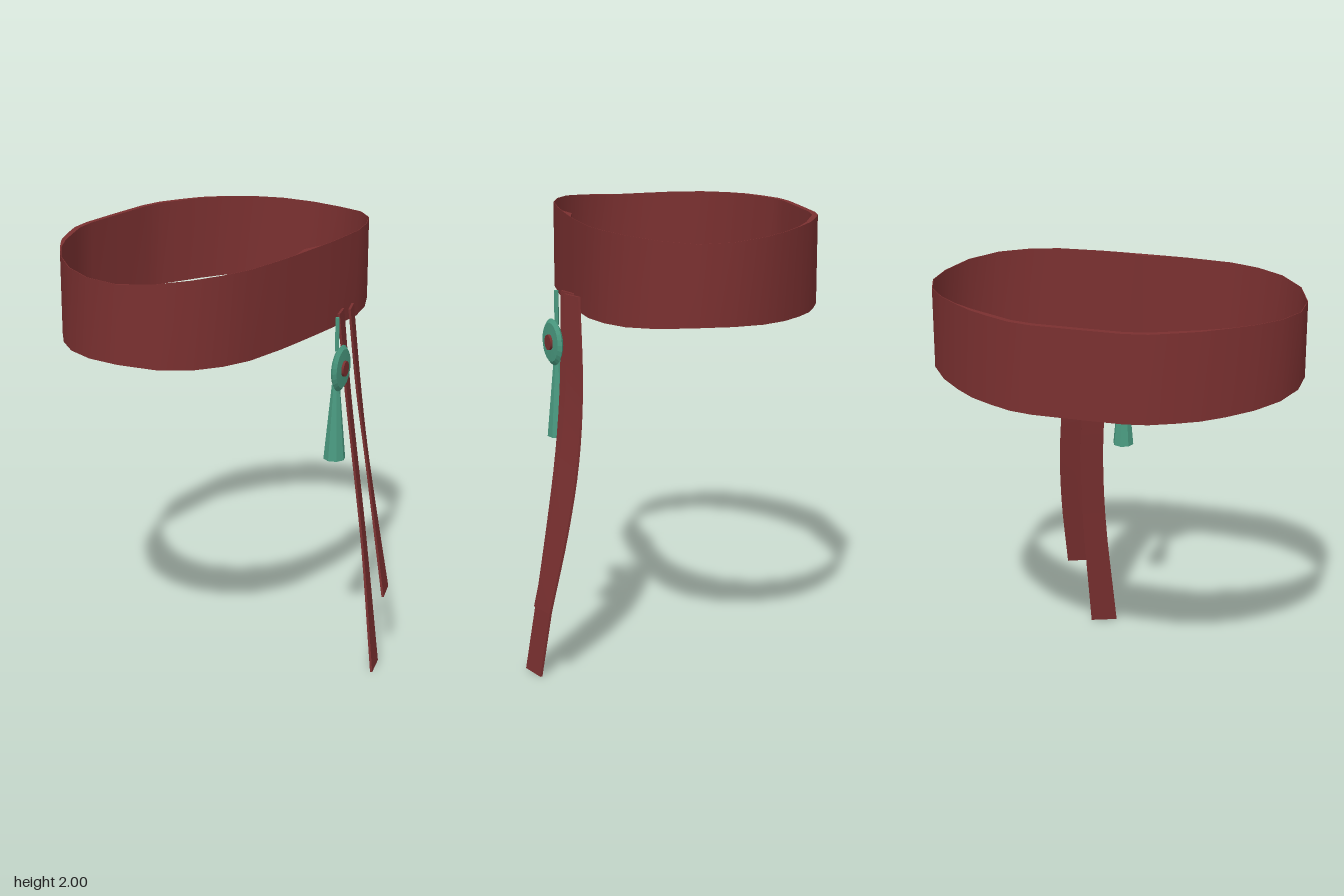
import * as THREE from 'three';

const red = new THREE.MeshStandardMaterial({ color: 0x7a3030, side: THREE.DoubleSide });
red.name = 'dark red cloth';
const green = new THREE.MeshStandardMaterial({ color: 0x4a9a80, flatShading: true });
green.name = 'jade green';

const V = (x, y, z) => new THREE.Vector3(x, y, z);

// Grid of points (rows of equal length) as a surface with smooth normals
function surface(rows) {
  const n = rows[0].length, index = [];
  for (let i = 0; i < rows.length - 1; i++) {
    for (let j = 0; j < n - 1; j++) {
      const a = i * n + j, b = a + 1, c = a + n, d = c + 1;
      index.push(a, b, c, b, d, c);
    }
  }
  const g = new THREE.BufferGeometry().setFromPoints(rows.flat());
  g.setIndex(index);
  g.computeVertexNormals();
  return g;
}

function add(group, name, geometry, material) {
  const mesh = new THREE.Mesh(geometry, material);
  mesh.name = name;
  group.add(mesh);
  return mesh;
}

// Waistband: a half outline mirrored, with the edges flaring at front and back
function waistband() {
  const group = new THREE.Group();
  group.name = 'waistband';
  const half = [
    [0, 0.413], [0.1, 0.413], [0.2, 0.411], [0.4, 0.395], [0.53, 0.355], [0.65, 0.29],
    [0.755, 0.18], [0.812, 0.03], [0.812, -0.12], [0.763, -0.26], [0.68, -0.375],
    [0.58, -0.47], [0.49, -0.54], [0.395, -0.59], [0.295, -0.635], [0.195, -0.653], [0, -0.655],
  ];
  const loop = [...half, ...half.slice(1, -1).reverse().map(([x, z]) => [-x, z]), half[0]];
  const rise = (z) => {
    const t = z > 0 ? z / 0.413 : Math.min(1, -z / 0.6);
    return t * t * (3 - 2 * t);
  };
  // The cloth thickens along the back and at the middle of the front
  const thick = (x, z) => z < -0.45
    ? 0.003 + 0.022 * Math.min(1, (-z - 0.45) / 0.12)
    : (z > 0.4 && x === 0 ? 0.028 : 0.003);
  const ring = (top, inner) => loop.map(([x, z]) => {
    const y = top ? 1.97 + 0.028 * rise(z) : 1.632 - 0.02 * rise(z);
    const t = inner ? thick(x, z) : 0;
    const l = Math.hypot(x, z);
    return V(x - t * x / l, y, z - t * z / l);
  });
  const [ot, ob, it, ib] = [ring(1, 0), ring(0, 0), ring(1, 1), ring(0, 1)];
  add(group, 'outerFace', surface([ot, ob]), red);
  add(group, 'innerFace', surface([ib, it]), red);
  add(group, 'topEdge', surface([it, ot]), red);
  add(group, 'bottomEdge', surface([ob, ib]), red);
  return group;
}

// Hanging strap: a thin slab between a left and a right edge curve
function strap(name, leftPoints, rightPoints) {
  const group = new THREE.Group();
  group.name = name;
  const edge = (pts) => new THREE.CatmullRomCurve3(pts.map((p) => V(...p))).getPoints(16);
  const a = edge(leftPoints), b = edge(rightPoints);
  const back = (pts) => pts.map((p) => V(p.x - 0.003, p.y, p.z - 0.01));
  const c = back(a), d = back(b);
  add(group, 'face', surface([b, a]), red);
  add(group, 'lining', surface([c, d]), red);
  add(group, 'outerSide', surface([a, c]), red);
  add(group, 'innerSide', surface([d, b]), red);
  for (const i of [0, 16]) add(group, 'end', surface([[a[i], b[i]], [c[i], d[i]]]), red);
  return group;
}

// Charm: cord, tilted disc with a bead, and a flared tassel
function charm() {
  const group = new THREE.Group();
  group.name = 'charm';
  const cord = add(group, 'cord', new THREE.CylinderGeometry(0.01, 0.01, 0.15, 6), green);
  cord.position.set(0.12, 1.61, 0.48);

  const tassel = add(group, 'tassel', new THREE.CylinderGeometry(0.018, 0.049, 0.34, 8), green);
  tassel.position.set(0.12, 1.21, 0.478);

  const medallion = new THREE.Group();
  medallion.name = 'medallion';
  const profile = [[0, -0.016], [0.085, -0.013], [0.102, 0], [0.085, 0.013], [0, 0.016]]
    .map(([r, y]) => new THREE.Vector2(r, y));
  add(medallion, 'disc', new THREE.LatheGeometry(profile, 24), green).rotation.x = Math.PI / 2;
  const bead = add(medallion, 'bead', new THREE.CylinderGeometry(0.034, 0.036, 0.03, 14), red);
  bead.rotation.x = Math.PI / 2;
  bead.position.z = 0.01;
  medallion.position.set(0.125, 1.46, 0.499);
  medallion.rotation.y = 0.22;
  group.add(medallion);
  return group;
}

export function createModel() {
  const model = new THREE.Group();
  model.name = 'sash';
  model.add(waistband());
  model.add(strap('longStrap',
    [[0.155, 1.69, 0.468], [0.205, 1.3, 0.485], [0.23, 1, 0.513], [0.236, 0.6, 0.568], [0.205, 0, 0.655]],
    [[0.24, 1.69, 0.435], [0.3, 1.3, 0.44], [0.328, 1, 0.465], [0.336, 0.6, 0.52], [0.323, 0, 0.611]]));
  model.add(strap('shortStrap',
    [[0.24, 1.69, 0.468], [0.302, 1.3, 0.478], [0.33, 1, 0.512], [0.335, 0.7, 0.56], [0.32, 0.33, 0.633]],
    [[0.332, 1.69, 0.425], [0.397, 1.3, 0.43], [0.428, 1, 0.455], [0.44, 0.7, 0.505], [0.436, 0.33, 0.585]]));
  model.add(charm());
  return model;
}
